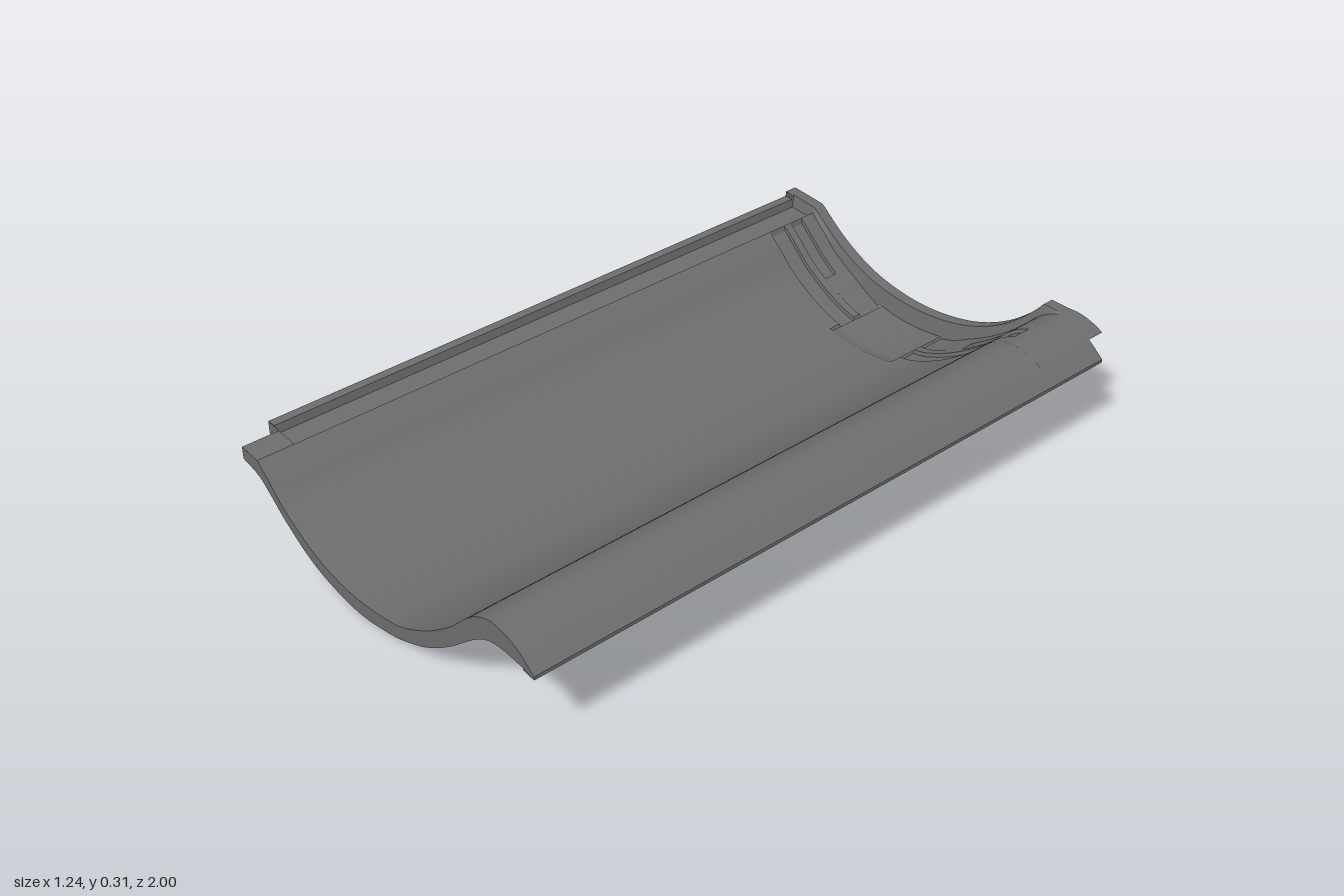
import * as THREE from 'three';
import { toCreasedNormals } from 'three/addons/utils/BufferGeometryUtils.js';

// Smooth height function y(x) through a few control points
function heightCurve(pts) {
  const n = pts.length;
  const slope = i => {
    const a = pts[Math.max(0, i - 1)], b = pts[Math.min(n - 1, i + 1)];
    return (b[1] - a[1]) / (b[0] - a[0]);
  };
  return x => {
    let i = 0;
    while (i < n - 2 && x > pts[i + 1][0]) i++;
    const [x0, y0] = pts[i], [x1, y1] = pts[i + 1];
    const d = x1 - x0, t = Math.min(1, Math.max(0, (x - x0) / d));
    const t2 = t * t, t3 = t2 * t;
    return (2 * t3 - 3 * t2 + 1) * y0 + (t3 - 2 * t2 + t) * d * slope(i)
      + (3 * t2 - 2 * t3) * y1 + (t3 - t2) * d * slope(i + 1);
  };
}

// Trough and roll of the main sheet
const bodyY = heightCurve([[-0.5, 0.24], [-0.45, 0.196], [-0.4, 0.15], [-0.3, 0.09], [-0.2, 0.055],
  [-0.08, 0.043], [0.04, 0.055], [0.1, 0.07], [0.2, 0.12], [0.3, 0.192], [0.36, 0.25], [0.4, 0.285],
  [0.45, 0.31], [0.49, 0.314], [0.56, 0.295], [0.62, 0.25]]);
// Lower edge of the front apron
const apronY = heightCurve([[-0.57, 0.21], [-0.5, 0.192], [-0.45, 0.155], [-0.4, 0.113], [-0.3, 0.05],
  [-0.2, 0.016], [-0.08, 0], [0.04, 0.014], [0.1, 0.029], [0.2, 0.07], [0.3, 0.135], [0.4, 0.218],
  [0.45, 0.248], [0.5, 0.257], [0.57, 0.252], [0.62, 0.24]]);
// Raised rear lip
const troughLipY = heightCurve([[-0.5, 0.256], [-0.4, 0.181], [-0.3, 0.13], [-0.2, 0.102], [-0.08, 0.091],
  [0.04, 0.102], [0.15, 0.132], [0.25, 0.183], [0.33, 0.247], [0.39, 0.309]]);
const lipY = x => x < -0.5 ? 0.256 + (-0.5 - x) * 0.08
  : x < 0.39 ? troughLipY(x) : Math.max(x < 0.5 ? 0.313 : 0, bodyY(x));

// Pressed areas near the rear: x range, z range, depth at each x end
const pressings = [
  [-0.2, 0.04, -0.96, -0.75, 0.006, 0.006],  // centre pad
  [-0.5, -0.2, -0.839, -0.781, 0.012, 0.012],  // long grooves
  [0.04, 0.44, -0.839, -0.781, 0.012, 0.012],
  [-0.5, -0.35, -0.909, -0.866, 0.012, 0.012], // short grooves
  [0.2, 0.375, -0.909, -0.866, 0.012, 0.012],
  [-0.3, -0.2, -0.96, -0.866, 0, 0.018],       // sloping pockets
  [0.04, 0.15, -0.96, -0.866, 0.012, 0]];
const pressedY = z => x => {
  const p = pressings.find(([x0, x1, z0, z1]) => x > x0 && x < x1 && z > z0 && z < z1);
  return bodyY(x) - (p ? p[4] + (p[5] - p[4]) * (x - p[0]) / (p[1] - p[0]) : 0);
};

const sheetMaterial = new THREE.MeshStandardMaterial({ color: 0x6d6d6d, side: THREE.DoubleSide });

// A row of points following y(x) at depth z
function row(yOf, x0, x1, z, step = 0.018) {
  const n = Math.max(2, Math.ceil((x1 - x0) / step));
  return Array.from({ length: n + 1 }, (_, i) => {
    const x = x0 + (x1 - x0) * i / n;
    return [x, yOf(x), z];
  });
}

// Thin skin joining rows with equal point counts
function loft(name, rows) {
  const m = rows[0].length, index = [];
  for (let r = 0; r < rows.length - 1; r++) {
    for (let i = 0; i < m - 1; i++) {
      const a = r * m + i, b = a + m;
      index.push(a, b, a + 1, a + 1, b, b + 1);
    }
  }
  const geo = new THREE.BufferGeometry();
  geo.setAttribute('position', new THREE.Float32BufferAttribute(rows.flat(2), 3));
  geo.setIndex(index);
  const mesh = new THREE.Mesh(toCreasedNormals(geo, 0.5), sheetMaterial);
  mesh.name = name;
  return mesh;
}

// A section of [x, y] points swept from back to front
const sweep = (name, section, z0, z1) =>
  loft(name, [z0, z1].map(z => section.map(([x, y]) => [x, y, z])));

export function createModel() {
  const tile = new THREE.Group();
  tile.name = 'roofTile';
  const riserZ = -0.957, pressedFront = -0.74, notchZ = -0.945;

  // Main curved sheet, with its rear part pressed into pad, grooves and pockets
  tile.add(loft('mainSheet', [pressedFront, 1].map(z => row(bodyY, -0.5, 0.62, z))));
  const rearRows = [riserZ, -0.91, -0.908, -0.867, -0.865, -0.84, -0.838, -0.782, -0.78, -0.752, pressedFront];
  tile.add(loft('pressedRearSheet', rearRows.map(z => row(pressedY(z), -0.5, 0.57, z, 0.005))));
  tile.add(loft('rearRollEdge', [notchZ, pressedFront].map(z => row(bodyY, 0.57, 0.62, z))));

  // Front apron hanging below the sheet
  const topEdgeY = x => x < -0.5 ? 0.24 + (-0.5 - x) * 0.08 : bodyY(x);
  tile.add(loft('frontApron', [row(topEdgeY, -0.57, 0.62, 1), row(apronY, -0.57, 0.62, 1)]));

  // Rear riser and lip
  const floorY = x => x < -0.5 ? 0.222 : pressedY(riserZ)(x);
  tile.add(loft('rearLip', [
    row(floorY, -0.59, 0.57, riserZ), row(lipY, -0.59, 0.57, -0.965), row(lipY, -0.59, 0.57, -1)]));
  tile.add(sweep('rearLipCorner', [[-0.62, 0.21], [-0.62, 0.265], [-0.59, 0.263]], -1, -0.96));

  // Interlocking channel along the right side
  const channel = [[-0.62, 0.21], [-0.62, 0.25], [-0.592, 0.25], [-0.588, 0.225], [-0.508, 0.222], [-0.5, 0.24]];
  tile.add(sweep('sideChannel', channel, -0.96, 0.89));
  tile.add(loft('channelEnd', [
    [[-0.62, 0.21, 0.89], [-0.57, 0.21, 0.89], [-0.5, 0.2, 0.89]],
    [[-0.62, 0.25, 0.89], [-0.57, 0.246, 0.89], [-0.5, 0.24, 0.89]]]));
  tile.add(sweep('frontCorner', [[-0.57, 0.21], [-0.57, 0.246], [-0.5, 0.24]], 0.89, 1));

  // Folded edge beneath the roll
  tile.add(sweep('rollHem', [[0.62, 0.25], [0.62, 0.24], [0.58, 0.246]], notchZ, 1));
  return tile;
}
